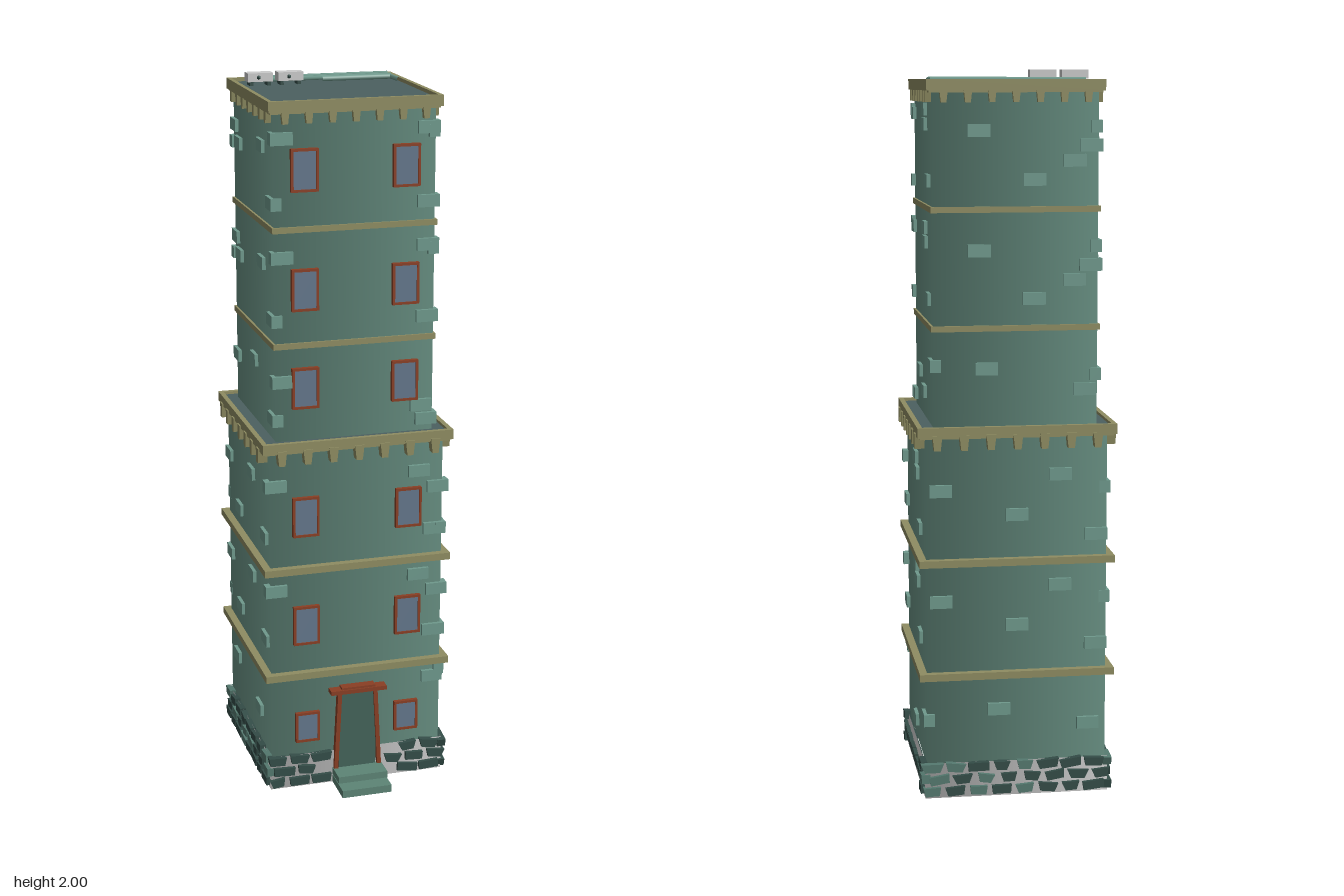
import * as THREE from 'three';

const mat = (color, side = THREE.FrontSide) => new THREE.MeshStandardMaterial({ color, side });
const M = {
  wall: mat(0x668d80, THREE.DoubleSide), trim: mat(0x8f8d62), roof: mat(0x4c6060, THREE.DoubleSide),
  brick: mat(0x6f9a8d), stone: mat(0x344d48), stoneLight: mat(0x557a70), frame: mat(0x8a3f24),
  glass: mat(0x64778c), door: mat(0x44635a), step: mat(0x5d8576),
  grey: mat(0xcccccc), plinth: mat(0xcccccc, THREE.DoubleSide),
};
const LOW = 0.25, UP = 0.225; // half widths of the two tiers

function add(parent, name, geo, material, x = 0, y = 0, z = 0) {
  const m = new THREE.Mesh(geo, material);
  m.name = name;
  m.position.set(x, y, z);
  parent.add(m);
  return m;
}

const box = (w, h, d) => new THREE.BoxGeometry(w, h, d);

// Four-sided tube, softly shaded round the corners
function walls(parent, name, half, y0, y1, material) {
  const r = half * Math.SQRT2;
  const geo = new THREE.CylinderGeometry(r, r, y1 - y0, 4, 1, true).rotateY(Math.PI / 4);
  add(parent, name, geo, material, 0, (y0 + y1) / 2, 0);
}

const square = (C, h) => new C([[-h, -h], [h, -h], [h, h], [-h, h]].map(p => new THREE.Vector2(...p)));

// Square ring lying flat
function ring(parent, name, outer, inner, y0, y1) {
  const s = square(THREE.Shape, outer);
  s.holes.push(square(THREE.Path, inner));
  const geo = new THREE.ExtrudeGeometry(s, { depth: y1 - y0, bevelEnabled: false }).rotateX(-Math.PI / 2);
  add(parent, name, geo, M.trim, 0, y0, 0);
}

// Box whose lower face is narrowed by a factor
function tapered(w, h, d, k) {
  const g = box(w, h, d).toNonIndexed(), p = g.attributes.position;
  for (let i = 0; i < p.count; i++) if (p.getY(i) < 0) p.setX(i, p.getX(i) * k);
  g.computeVertexNormals();
  return g;
}

// Seeded generator for the irregular footing
let seed = 7;
const rnd = () => (seed = (seed * 16807) % 2147483647) / 2147483647;

function addWindow(parent, x, y, half, w, h) {
  const g = new THREE.Group();
  g.name = 'window';
  g.position.set(x, y, half);
  add(g, 'windowGlass', box(w - 0.008, h - 0.008, 0.014), M.glass);
  for (const s of [-1, 1]) {
    add(g, 'windowJamb', box(0.007, h, 0.02), M.frame, s * (w / 2 - 0.003), 0, 0);
    add(g, 'windowRail', box(w, 0.007, 0.02), M.frame, 0, s * (h / 2 - 0.003), 0);
  }
  parent.add(g);
}

// Raised bricks per storey, one list per side: [offset along side, height above storey base]
const lowerBricks = [
  [[0.18, 0.26], [0.235, 0.21], [0.225, 0.085], [-0.235, 0.25]],
  [[0.03, 0.26], [0.06, 0.22], [0.125, 0.075], [-0.23, 0.085]],
  [[-0.21, 0.2], [0, 0.13], [0.12, 0.24], [0.22, 0.07]],
  [[-0.22, 0.2], [0.05, 0.23], [0.2, 0.09], [-0.1, 0.07]],
];
const upperBricks = [
  [[0.205, 0.26], [0.205, 0.06], [-0.205, 0.245]],
  [[0.075, 0.265], [0.08, 0.225], [0.15, 0.075], [-0.205, 0.25]],
  [[-0.1, 0.21], [0.205, 0.17], [0.16, 0.13], [0.05, 0.08]],
  [[-0.2, 0.22], [-0.155, 0.175], [0.1, 0.21], [0.2, 0.07]],
];
const groundBricks = [
  [[0.225, 0.26]],
  [[0.16, 0.3], [0.23, 0.185], [0, 0.115], [-0.23, 0.28]],
  [[-0.05, 0.21], [0.2, 0.16]],
  [[-0.15, 0.21], [0.12, 0.16]],
];
const setbackBricks = [
  [[0.205, 0.025], [0.19, 0.065], [-0.205, 0.16]],
  [[-0.077, 0.11], [0.03, 0.065], [0.205, 0.16], [-0.205, 0.025]],
  [[-0.08, 0.15], [0.19, 0.09]],
  [[-0.2, 0.13], [0, 0.17], [0.2, 0.05]],
];

function addBricks(sides, lists, base, half) {
  lists.forEach((list, k) => list.forEach(([u, y]) => {
    add(sides[k], 'brick', box(0.062, 0.034, 0.03), M.brick, u, base + y, half - 0.005);
  }));
}

export function createModel() {
  const model = new THREE.Group();
  model.name = 'tower';
  const body = new THREE.Group();
  body.name = 'towerBody';
  body.position.z = -0.045;
  model.add(body);

  // Four sides: front, +x, back, -x
  const sides = ['frontSide', 'leftSide', 'backSide', 'rightSide'].map((name, k) => {
    const g = new THREE.Group();
    g.name = name;
    g.rotation.y = k * Math.PI / 2;
    body.add(g);
    return g;
  });

  // Tiers, ledge and roof
  walls(body, 'lowerWalls', LOW, 0.09, 1.03, M.wall);
  walls(body, 'upperWalls', UP, 1.03, 1.96, M.wall);
  walls(body, 'plinth', 0.257, 0, 0.1, M.plinth);
  const flat = h => new THREE.PlaneGeometry(2 * h, 2 * h).rotateX(-Math.PI / 2);
  add(body, 'ledge', flat(0.265), M.roof, 0, 1.04, 0);
  add(body, 'roof', flat(0.232), M.roof, 0, 1.965, 0);

  // Cornices and string courses
  ring(body, 'lowerCornice', 0.274, 0.26, 1.02, 1.048);
  ring(body, 'lowerCorniceBed', 0.266, 0.248, 1.015, 1.03);
  ring(body, 'upperCornice', 0.241, 0.229, 1.945, 1.975);
  ring(body, 'upperCorniceBed', 0.235, 0.222, 1.94, 1.955);
  for (const y of [0.35, 0.67]) ring(body, 'stringCourse', 0.271, 0.248, y - 0.01, y + 0.01);
  for (const y of [1.31, 1.63]) ring(body, 'stringCourse', 0.231, 0.222, y - 0.008, y + 0.008);

  // Teeth under both cornices
  for (const side of sides) {
    for (let i = -3; i <= 3; i++) {
      add(side, 'corniceTooth', tapered(0.027, 0.042, 0.034, 0.65), M.trim, i * 0.0735, 1.006, 0.261);
      add(side, 'corniceTooth', tapered(0.023, 0.036, 0.026, 0.65), M.trim, i * 0.065, 1.932, 0.227);
    }
  }

  // Raised bricks, storey by storey
  addBricks(sides, groundBricks, 0.04, LOW);
  for (const base of [0.36, 0.67]) addBricks(sides, lowerBricks, base, LOW);
  addBricks(sides, setbackBricks, 1.05, UP);
  for (const base of [1.31, 1.63]) addBricks(sides, upperBricks, base, UP);

  // Windows on the front
  for (const s of [-1, 1]) {
    for (const y of [1.79, 1.465, 1.19]) addWindow(sides[0], s * 0.142, y, UP + 0.003, 0.075, 0.115);
    for (const y of [0.825, 0.5]) addWindow(sides[0], s * 0.149, y, LOW + 0.002, 0.075, 0.115);
    addWindow(sides[0], s * 0.147, 0.185, LOW + 0.002, 0.07, 0.09);
  }

  // Door with splayed jambs, lintel and steps
  const door = new THREE.Group();
  door.name = 'door';
  door.position.z = LOW;
  sides[0].add(door);
  add(door, 'doorBack', box(0.12, 0.26, 0.012), M.frame, 0, 0.155, -0.006);
  add(door, 'doorPanel', box(0.11, 0.25, 0.02), M.door, 0, 0.155, 0.002);
  for (const s of [-1, 1]) {
    add(door, 'doorJamb', box(0.012, 0.26, 0.028), M.frame, s * 0.059, 0.158, 0.004).rotation.z = s * 0.05;
  }
  add(door, 'doorLintel', box(0.165, 0.012, 0.04), M.frame, 0, 0.289, 0.011);
  add(door, 'doorLintelCap', box(0.1, 0.008, 0.034), M.frame, 0, 0.297, 0.01);
  add(door, 'upperStep', box(0.146, 0.02, 0.075), M.step, 0, 0.035, 0.036);
  add(door, 'lowerStep', box(0.146, 0.022, 0.115), M.step, 0, 0.011, 0.0575);

  // Rough footing stones in three courses
  sides.forEach((side, k) => {
    for (let row = 0; row < 3; row++) {
      for (let i = 0; i < 8; i++) {
        const u = -0.228 + i * 0.065 + (row % 2 ? 0.01 : -0.01);
        const w = 0.045 + rnd() * 0.02, tilt = (rnd() - 0.5) * 0.35, light = rnd() < 0.2;
        if (k === 0 && Math.abs(u) < 0.09) continue; // doorway
        if (k === 1 && row !== 1 && Math.abs(u) < 0.2) continue; // bare plinth
        const stone = add(side, 'footingStone', tapered(w, 0.024, 0.024, 0.6 + rnd() * 0.4),
          light ? M.stoneLight : M.stone, u, 0.02 + row * 0.034, 0.256);
        stone.rotation.z = tilt;
      }
    }
  });

  // Roof pipes and vent boxes
  const pipe = pts => {
    const path = new THREE.CurvePath();
    const v = pts.map(([x, z]) => new THREE.Vector3(x, 1.974, z));
    for (let i = 1; i < v.length; i++) path.add(new THREE.LineCurve3(v[i - 1], v[i]));
    add(model, 'roofPipe', new THREE.TubeGeometry(path, 24, 0.007, 6), M.brick);
  };
  pipe([[-0.19, -0.262], [0.225, -0.262]]);
  pipe([[-0.19, -0.227], [0.225, -0.227]]);
  pipe([[0.015, -0.2], [0.215, -0.196], [0.219, -0.132]]);
  for (const x of [-0.171, -0.084]) {
    add(model, 'roofVent', box(0.072, 0.024, 0.038), M.grey, x, 1.988, -0.189);
    for (const s of [-1, 1]) add(model, 'ventFoot', box(0.01, 0.014, 0.034), M.stone, x + s * 0.025, 1.971, -0.189);
    add(model, 'ventSpout', new THREE.ConeGeometry(0.007, 0.008, 6).rotateX(Math.PI / 2), M.stone, x - 0.005, 1.988, -0.167);
  }
  return model;
}
